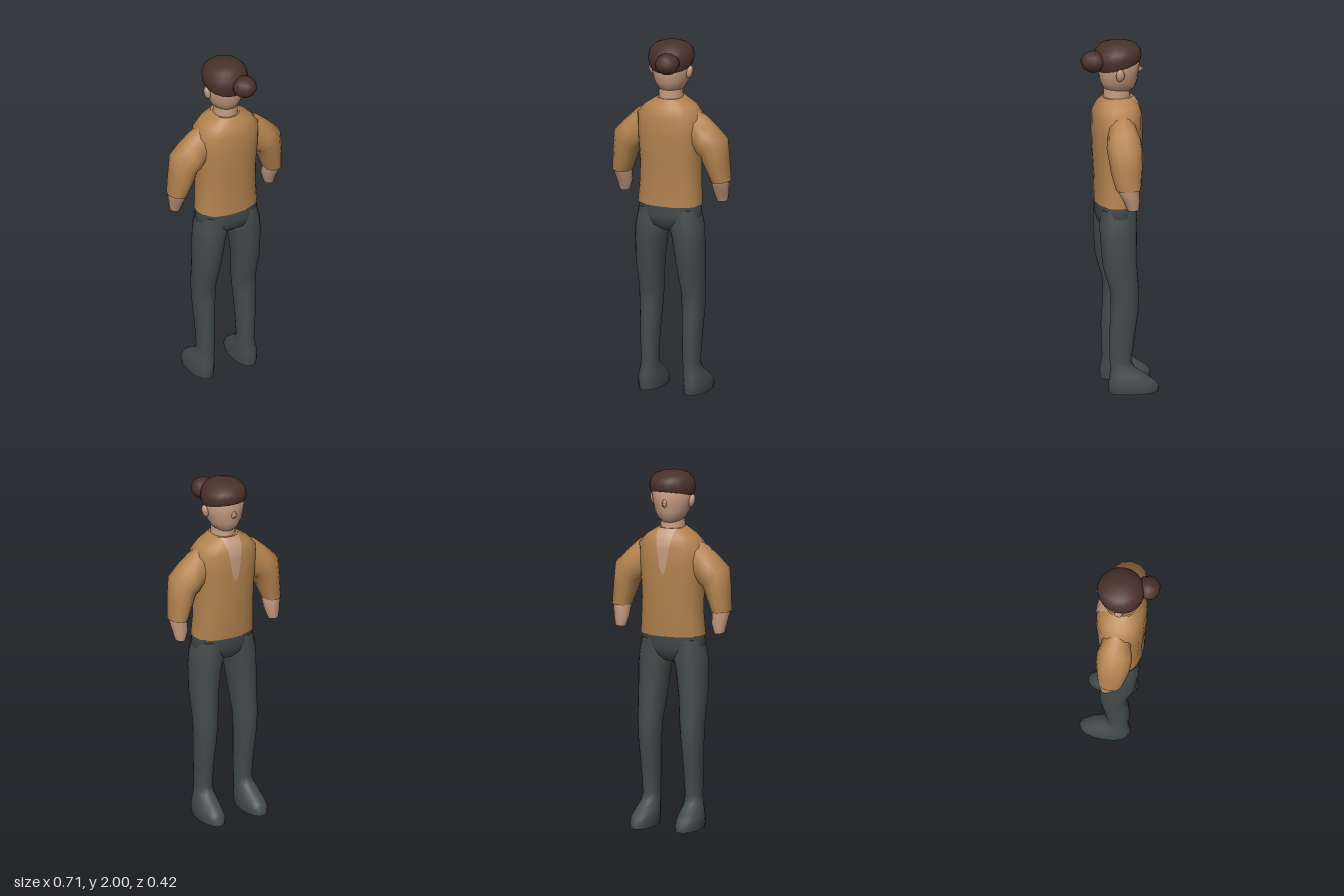
import * as THREE from 'three';

const V = (x, y, z) => new THREE.Vector3(x, y, z);

// one cross-section: centre c and two half-axes u, v
// level ring from its height, centre x, half width, back z, front z and tilt
const level = (y, x, rx, zBack, zFront, tilt = 0) => {
  const rz = (zBack - zFront) / 2;
  return { c: V(x, y, (zBack + zFront) / 2), u: V(rx, 0, 0), v: V(0, -tilt * rz, rz) };
};
// limb ring from its outer and inner edge, centre z and half depth
const across = (s, xo, yo, xi, yi, z, d) => ({
  c: V(s * (xo + xi) / 2, (yo + yi) / 2, z),
  u: V(s * (xo - xi) / 2, (yo - yi) / 2, 0), v: V(0, 0, d),
});

// skin a row of rings; power above 2 makes the section squarer
function loft(rings, segments = 16, power = 2) {
  const pos = [], index = [];
  const bend = (t) => Math.sign(t) * Math.pow(Math.abs(t), 2 / power);
  const addRing = ({ c, u, v }) => {
    const start = pos.length / 3;
    for (let i = 0; i < segments; i++) {
      const a = (i / segments) * Math.PI * 2;
      const p = c.clone().addScaledVector(u, bend(Math.cos(a))).addScaledVector(v, bend(Math.sin(a)));
      pos.push(p.x, p.y, p.z);
    }
    return start;
  };
  const last = rings[rings.length - 1];
  const axis = last.c.clone().sub(rings[0].c);
  const flip = rings[0].u.clone().cross(rings[0].v).dot(axis) < 0;
  const tri = (a, b, c) => (flip ? index.push(a, c, b) : index.push(a, b, c));
  const starts = rings.map(addRing);
  for (let r = 0; r + 1 < starts.length; r++) {
    for (let i = 0; i < segments; i++) {
      const j = (i + 1) % segments, a = starts[r], b = starts[r + 1];
      tri(a + i, a + j, b + i);
      tri(a + j, b + j, b + i);
    }
  }
  // flat end caps
  [[rings[0], true], [last, false]].forEach(([ring, isStart]) => {
    const s = addRing(ring), m = pos.length / 3;
    pos.push(ring.c.x, ring.c.y, ring.c.z);
    for (let i = 0; i < segments; i++) {
      const j = (i + 1) % segments;
      isStart ? tri(m, s + j, s + i) : tri(m, s + i, s + j);
    }
  });
  const g = new THREE.BufferGeometry();
  g.setAttribute('position', new THREE.Float32BufferAttribute(pos, 3));
  g.setIndex(index);
  g.computeVertexNormals();
  return g;
}

export function createModel() {
  const model = new THREE.Group();
  const material = (name, color) => {
    const m = new THREE.MeshStandardMaterial({ color });
    m.name = name;
    return m;
  };
  const skin = material('skin', 0xc49a80);
  const shirt = material('ochre shirt', 0xb58450);
  const trousers = material('dark grey trousers', 0x434c4b);
  const hair = material('brown hair', 0x4b312b);
  const add = (name, geometry, mat) => {
    const mesh = new THREE.Mesh(geometry, mat);
    mesh.name = name;
    model.add(mesh);
    return mesh;
  };

  // sweater body, bottom to collar
  const body = [
    level(1.08, 0, 0.185, 0.13, -0.11), level(1.2, 0, 0.176, 0.128, -0.122),
    level(1.35, 0, 0.176, 0.138, -0.132), level(1.48, 0, 0.188, 0.143, -0.136),
    level(1.59, 0, 0.19, 0.14, -0.134), level(1.64, 0, 0.145, 0.118, -0.118),
    level(1.685, 0, 0.075, 0.085, -0.087),
  ];
  add('sweater', loft(body, 20, 2.3), shirt);

  // V-neck opening laid just over the sweater front (-z)
  const neckline = new THREE.PlaneGeometry(2, 1, 8, 20);
  const np = neckline.attributes.position;
  for (let i = 0; i < np.count; i++) {
    const t = np.getY(i) + 0.5, y = 1.43 + 0.258 * t;
    let k = 0;
    while (k < body.length - 2 && y > body[k + 1].c.y) k++;
    const f = (y - body[k].c.y) / (body[k + 1].c.y - body[k].c.y);
    const mix = (get) => THREE.MathUtils.lerp(get(body[k]), get(body[k + 1]), f);
    const x = -np.getX(i) * (0.012 + 0.043 * t) * Math.min(1, t * 8);
    const bulge = Math.pow(1 - Math.pow(Math.abs(x) / mix((r) => r.u.x), 2.3), 1 / 2.3);
    np.setXYZ(i, x, y, mix((r) => r.c.z) - mix((r) => r.v.z) * bulge - 0.004);
  }
  neckline.computeVertexNormals();
  add('neckline', neckline, skin);

  // hips
  add('hips', loft([
    level(0.935, 0, 0.06, 0.07, -0.05), level(0.97, 0, 0.15, 0.115, -0.085),
    level(1.02, 0, 0.187, 0.125, -0.1), level(1.085, 0, 0.178, 0.127, -0.107),
  ], 20, 2.2), trousers);

  for (const s of [1, -1]) {
    const side = s > 0 ? 'left' : 'right';

    // leg and shoe in one piece, sole to hip
    add(side + 'Leg', loft([
      level(0, s * 0.136, 0.062, 0.07, -0.208), level(0.03, s * 0.136, 0.066, 0.075, -0.212),
      level(0.06, s * 0.136, 0.066, 0.074, -0.19), level(0.1, s * 0.133, 0.06, 0.068, -0.135),
      level(0.14, s * 0.129, 0.05, 0.063, -0.075), level(0.18, s * 0.127, 0.047, 0.065, -0.056),
      level(0.32, s * 0.128, 0.051, 0.07, -0.076), level(0.47, s * 0.128, 0.06, 0.06, -0.096),
      level(0.58, s * 0.127, 0.067, 0.06, -0.1), level(0.74, s * 0.122, 0.077, 0.105, -0.09),
      level(0.9, s * 0.111, 0.09, 0.117, -0.09), level(0.97, s * 0.1, 0.096, 0.118, -0.093),
      level(1.06, s * 0.095, 0.08, 0.11, -0.09),
    ], 16, 2.15), trousers);

    // sleeve from shoulder to cuff
    add(side + 'Sleeve', loft([
      across(s, 0.075, 1.665, 0.1, 1.42, 0, 0.07), across(s, 0.2, 1.598, 0.165, 1.38, 0, 0.086),
      across(s, 0.265, 1.54, 0.18, 1.37, 0, 0.1), across(s, 0.333, 1.475, 0.195, 1.36, 0, 0.098),
      across(s, 0.345, 1.35, 0.218, 1.3, -0.003, 0.088), across(s, 0.353, 1.232, 0.247, 1.226, -0.01, 0.07),
    ], 12, 2.1), shirt);

    // wrist and hand
    add(side + 'Hand', loft([
      across(s, 0.348, 1.24, 0.25, 1.235, -0.01, 0.062), across(s, 0.346, 1.215, 0.25, 1.21, -0.012, 0.06),
      across(s, 0.34, 1.165, 0.25, 1.165, -0.027, 0.047), across(s, 0.328, 1.113, 0.27, 1.108, -0.035, 0.033),
    ], 10), skin);

    // ear
    const ear = add(side + 'Ear', new THREE.SphereGeometry(1, 10, 8), skin);
    ear.scale.set(0.018, 0.038, 0.024);
    ear.position.set(s * 0.114, 1.835, 0.003);
    ear.rotation.z = -s * 0.2;
  }

  // neck and head
  add('neck', loft([
    level(1.66, 0, 0.07, 0.08, -0.075), level(1.72, 0, 0.066, 0.077, -0.068),
    level(1.78, 0, 0.06, 0.07, -0.06),
  ]), skin);
  add('head', loft([
    level(1.718, 0, 0.05, 0.055, -0.075), level(1.738, 0, 0.073, 0.08, -0.1),
    level(1.78, 0, 0.096, 0.1, -0.113), level(1.83, 0, 0.108, 0.106, -0.118),
    level(1.88, 0, 0.114, 0.108, -0.124), level(1.95, 0, 0.09, 0.09, -0.1),
  ], 18), skin);

  // nose
  const nose = add('nose', new THREE.ConeGeometry(0.03, 0.045, 6), skin);
  nose.rotation.x = -Math.PI / 2;
  nose.scale.set(0.75, 1, 1.2);
  nose.position.set(0, 1.832, -0.126);

  // hair cap, lower at the back, and the bun
  add('hair', loft([
    level(1.868, 0, 0.117, 0.113, -0.129, 0.25), level(1.885, 0, 0.125, 0.125, -0.134, 0.2),
    level(1.92, 0, 0.128, 0.132, -0.135, 0.1), level(1.955, 0, 0.12, 0.124, -0.128, 0.04),
    level(1.983, 0, 0.093, 0.097, -0.102), level(1.996, 0, 0.055, 0.055, -0.062),
    level(2, 0, 0.015, 0.012, -0.018),
  ], 20), hair);
  const bun = add('hairBun', new THREE.SphereGeometry(1, 10, 7), hair);
  bun.scale.set(0.07, 0.06, 0.07);
  bun.position.set(0.043, 1.904, 0.144);

  return model;
}
